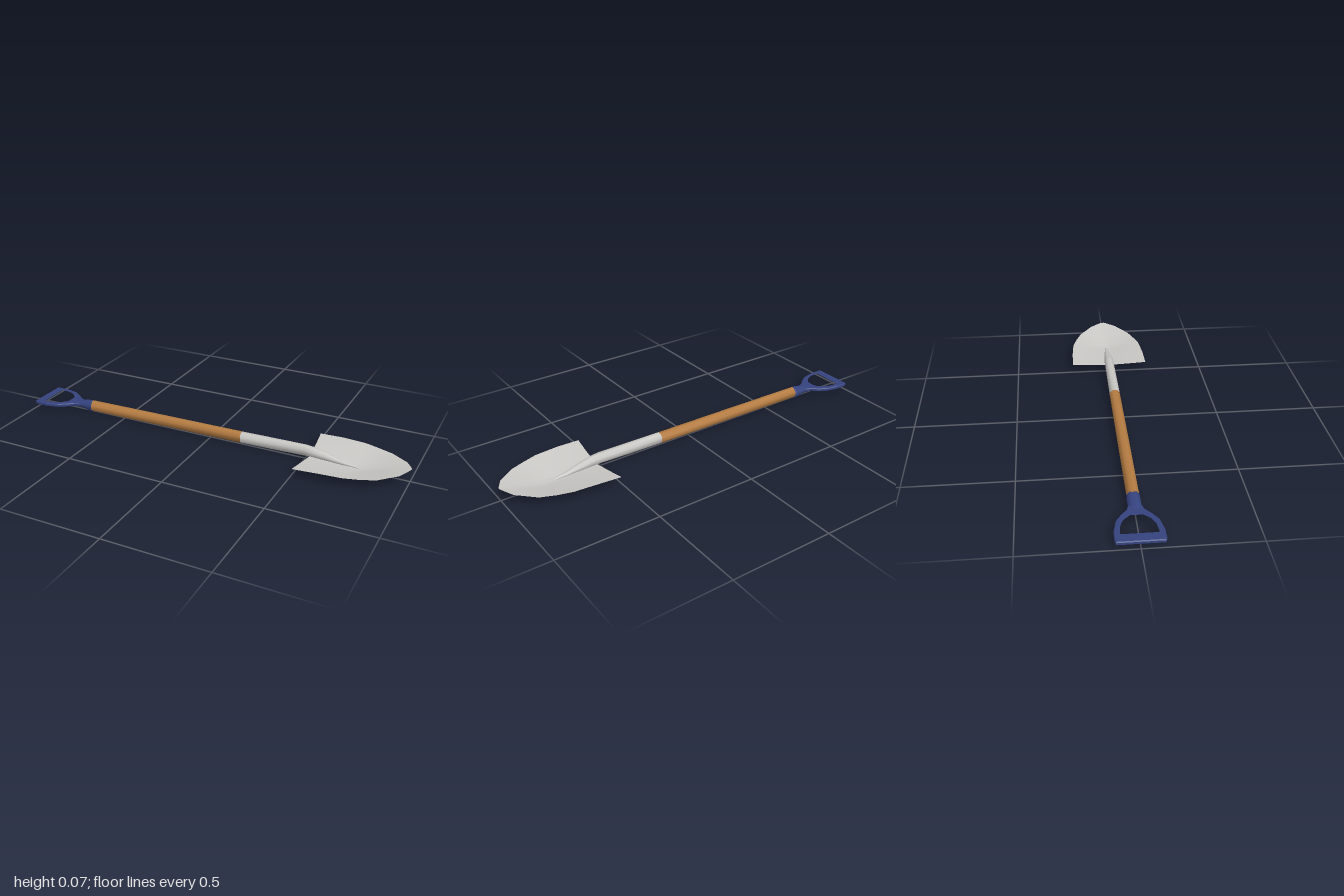
import * as THREE from 'three';

// Eight-sided tube through sections [x, centre y, half height, half width]
function loft(sections) {
  const n = 8, pos = [], idx = [], k = 1 / Math.cos(Math.PI / n);
  sections.forEach(([x, y, ry, rz], i) => {
    for (let j = 0; j < n; j++) {
      const a = (j + 0.5) / n * Math.PI * 2;
      pos.push(x, y + Math.cos(a) * ry * k, Math.sin(a) * rz * k);
      if (i < sections.length - 1) {
        const p = i * n + j, q = i * n + (j + 1) % n;
        idx.push(p, q, p + n, q, q + n, p + n);
      }
    }
  });
  return surface(pos, idx);
}

function surface(pos, idx) {
  const g = new THREE.BufferGeometry();
  g.setAttribute('position', new THREE.Float32BufferAttribute(pos, 3));
  g.setIndex(idx);
  g.computeVertexNormals();
  return g;
}

// Dished blade: each row is [edge x, edge y, half width, centre x, centre y]
function bladeGeometry() {
  const rows = [
    [0.505, 0.042, 0.2, 0.527, 0.022], [0.62, 0.047, 0.197, 0.62, 0.016],
    [0.74, 0.047, 0.187, 0.74, 0.009], [0.81, 0.046, 0.166, 0.79, 0.009],
    [0.88, 0.047, 0.139, 0.87, 0.028], [0.965, 0.055, 0.07, 0.955, 0.05],
    [1, 0.063, 0.008, 1, 0.062],
  ];
  const n = 12, pos = [], idx = [];
  rows.forEach(([ex, ey, w, cx, cy], i) => {
    for (let j = 0; j <= n; j++) {
      const u = j / n * 2 - 1, t = Math.abs(u), s = Math.pow(t, 1.15);
      pos.push(cx + (ex - cx) * t, cy + (ey - cy) * s, w * u);
      if (i < rows.length - 1 && j < n) {
        const p = i * (n + 1) + j, q = p + n + 1;
        idx.push(p, p + 1, q, p + 1, q + 1, q);
      }
    }
  });
  return surface(pos, idx);
}

// Closed outline mirrored across z = 0
function mirrored(Type, half) {
  const pts = half.concat(half.slice().reverse().map(([x, z]) => [x, -z]));
  return new Type(pts.map(([x, z]) => new THREE.Vector2(x, z)));
}

function gripGeometry() {
  const shape = mirrored(THREE.Shape, [
    [-1, 0.099], [-0.985, 0.104], [-0.93, 0.104], [-0.865, 0.09],
    [-0.825, 0.064], [-0.795, 0.038], [-0.765, 0.028],
  ]);
  shape.holes.push(mirrored(THREE.Path, [
    [-0.956, 0.08], [-0.945, 0.083], [-0.895, 0.077], [-0.86, 0.06], [-0.832, 0.028],
  ]));
  const b = 0.004;
  const g = new THREE.ExtrudeGeometry(shape, {
    depth: 0.01, bevelEnabled: true, bevelSize: b, bevelThickness: b, bevelOffset: -b, bevelSegments: 1,
  });
  g.rotateX(Math.PI / 2);
  g.translate(0, 0.036, 0);
  return g;
}

export function createModel() {
  const material = (name, color, side = THREE.FrontSide) =>
    Object.assign(new THREE.MeshStandardMaterial({ color, side }), { name });
  const wood = material('wood', 0xb57c42);
  const steel = material('steel', 0xc9c8c5, THREE.DoubleSide);
  const blue = material('blue plastic', 0x35437f);

  const group = new THREE.Group();
  group.name = 'shovel';
  const add = (name, geometry, mat) => {
    const mesh = new THREE.Mesh(geometry, mat);
    mesh.name = name;
    group.add(mesh);
  };

  // D-shaped grip and the neck that flares into the shaft
  add('grip', gripGeometry(), blue);
  add('gripNeck', loft([
    [-0.815, 0.031, 0.007, 0.022], [-0.79, 0.031, 0.01, 0.028],
    [-0.76, 0.03, 0.018, 0.028], [-0.71, 0.028, 0.028, 0.028],
    [-0.695, 0.028, 0.028, 0.028], [-0.695, 0.029, 0.024, 0.024],
  ]), blue);

  // Wooden shaft
  add('shaft', loft([
    [-0.7, 0.03, 0.026, 0.026], [-0.26, 0.034, 0.026, 0.026], [0.17, 0.037, 0.026, 0.025],
  ]), wood);

  // Steel socket running out into a tongue on the blade
  add('socket', loft([
    [0.168, 0.037, 0.026, 0.025], [0.35, 0.04, 0.026, 0.024], [0.5, 0.043, 0.025, 0.023],
    [0.54, 0.04, 0.024, 0.023], [0.6, 0.032, 0.019, 0.02],
    [0.68, 0.019, 0.01, 0.012], [0.76, 0.01, 0.002, 0.003],
  ]), steel);

  // Blade
  add('blade', bladeGeometry(), steel);
  return group;
}
